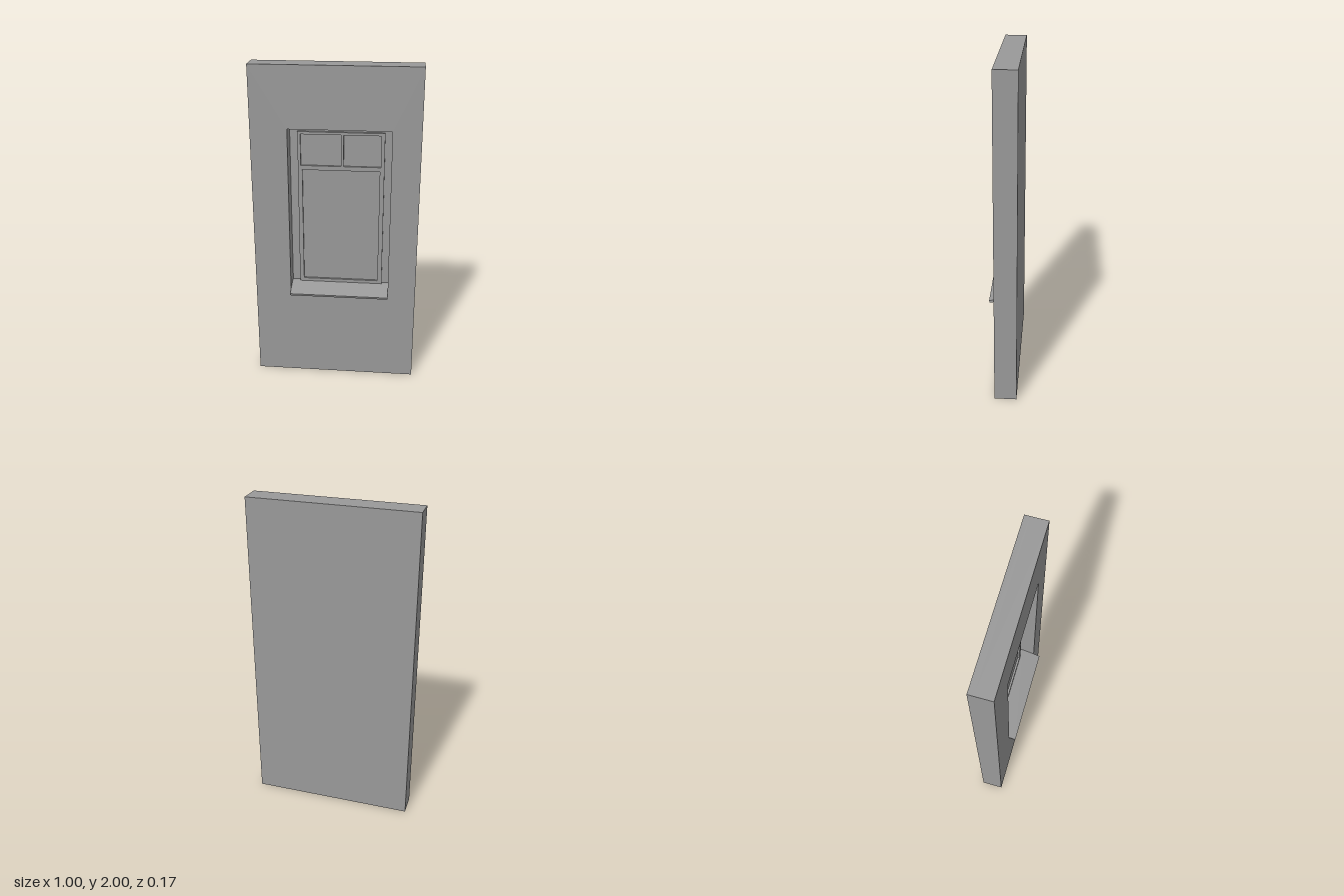
import * as THREE from 'three';

const BACK = -0.088, RECESS = -0.055, SASH = -0.035, FACE = 0.045;

// Rectangle path from its left, right, bottom and top edges
function rect(l, r, b, t, Type = THREE.Shape) {
  const p = new Type();
  p.moveTo(l, b);
  p.lineTo(r, b);
  p.lineTo(r, t);
  p.lineTo(l, t);
  p.closePath();
  return p;
}

// Flat panel with rectangular openings, from depth z0 to z1
function panel(outline, openings, z0, z1) {
  const shape = rect(...outline);
  for (const o of openings) shape.holes.push(rect(...o, THREE.Path));
  const geo = new THREE.ExtrudeGeometry(shape, { depth: z1 - z0, bevelEnabled: false });
  return geo.translate(0, 0, z0);
}

export function createModel() {
  const group = new THREE.Group();
  const grey = new THREE.MeshStandardMaterial({ color: 0x999999 });
  grey.name = 'plain grey';

  const add = (name, geo) => {
    const mesh = new THREE.Mesh(geo, grey);
    mesh.name = name;
    group.add(mesh);
  };

  // Wall: solid back layer and a front layer with the window recess
  const wall = [-0.5, 0.5, 0, 2];
  add('wallBack', panel(wall, [], BACK, RECESS));
  add('wallFront', panel(wall, [[-0.28, 0.33, 0.585, 1.63]], RECESS, FACE));

  // Window sash: two small upper lights over one large pane
  const panes = [
    [-0.215, 0.027, 1.387, 1.58],
    [0.043, 0.266, 1.387, 1.58],
    [-0.206, 0.26, 0.635, 1.36],
  ];
  add('windowSash', panel([-0.232, 0.287, 0.59, 1.596], panes, RECESS, SASH));
  panes.forEach((p, i) => add('pane' + (i + 1), panel(p, [], RECESS, SASH - 0.013)));

  // Sloping sill: side profile (z, y) swept along x
  const profile = new THREE.Shape([
    [RECESS, 0.6], [0.082, 0.566], [0.087, 0.58], [SASH, 0.615], [RECESS, 0.615],
  ].map(([z, y]) => new THREE.Vector2(-z, y)));
  const sill = new THREE.ExtrudeGeometry(profile, { depth: 0.61, bevelEnabled: false });
  sill.rotateY(Math.PI / 2).translate(-0.28, 0, 0);
  add('windowSill', sill);

  return group;
}
